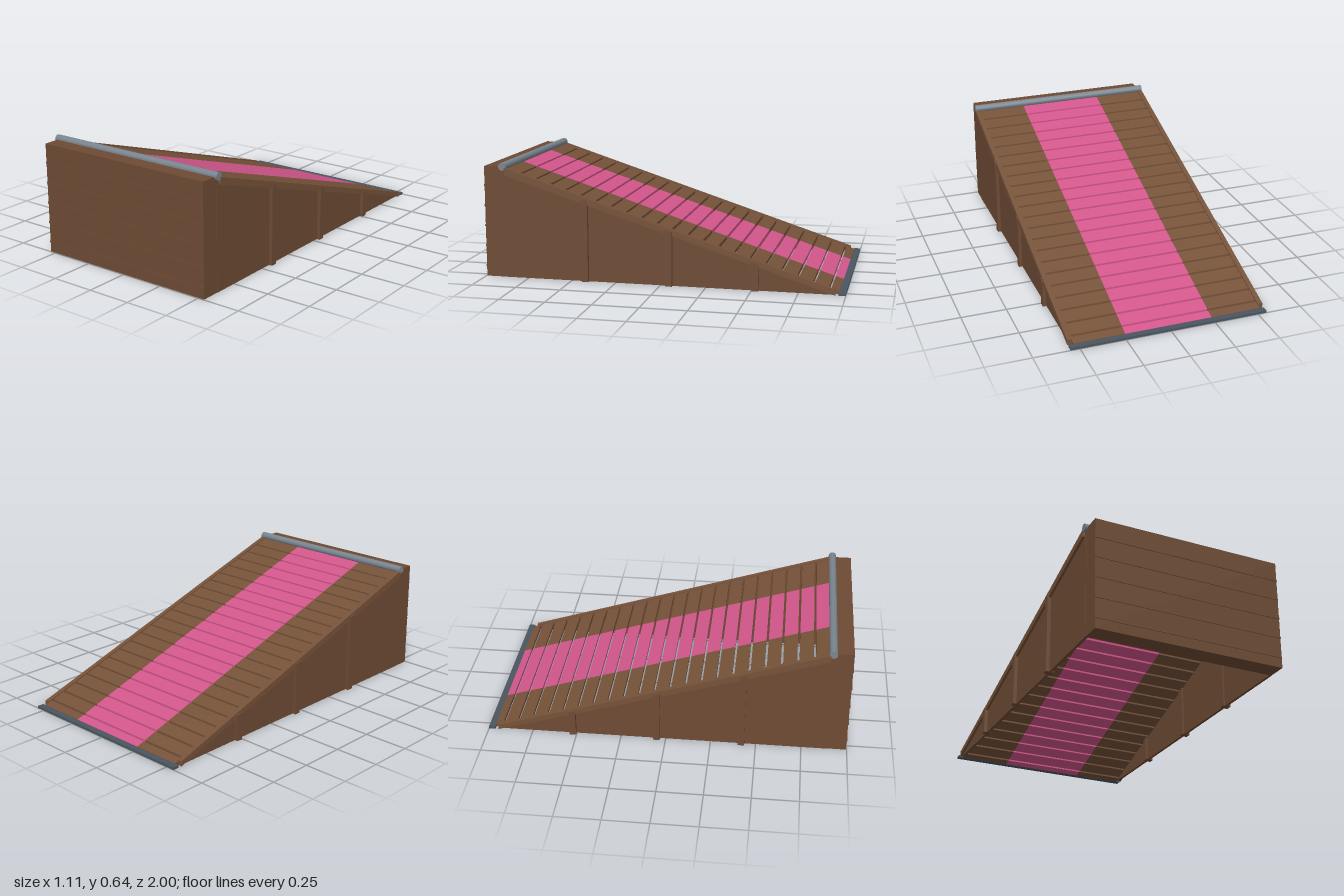
import * as THREE from 'three';

export function createModel() {
  const model = new THREE.Group();
  model.name = 'ramp';
  const mat = (name, color) => {
    const m = new THREE.MeshStandardMaterial({ color });
    m.name = name;
    return m;
  };
  const wallWood = mat('wall wood', 0x6e4b34);
  const deckWood = mat('deck wood', 0x765239);
  const pink = mat('pink paint', 0xd2568b);
  const steel = mat('steel', 0x7a858f);
  const darkSteel = mat('dark steel', 0x4a5660);

  const slope = z => 0.62 + (z - 0.89) * 0.3224;

  function add(name, geometry, material) {
    const mesh = new THREE.Mesh(geometry, material);
    mesh.name = name;
    model.add(mesh);
    return mesh;
  }
  function box(name, x0, x1, y0, y1, z0, z1, material) {
    const g = new THREE.BoxGeometry(x1 - x0, y1 - y0, z1 - z0);
    g.translate((x0 + x1) / 2, (y0 + y1) / 2, (z0 + z1) / 2);
    return add(name, g, material);
  }
  // Side profile of [z, y] points, extruded from x0 to x1
  function profile(name, points, x0, x1, material) {
    const shape = new THREE.Shape(points.map(p => new THREE.Vector2(p[0], p[1])));
    const g = new THREE.ExtrudeGeometry(shape, { depth: x1 - x0, bevelEnabled: false });
    g.rotateY(-Math.PI / 2);
    g.translate(x1, 0, 0);
    return add(name, g, material);
  }
  // Strip that follows the slope, between two distances below it
  const strip = (z0, z1, top, bottom) => [
    [z0, Math.max(0, slope(z0) - bottom)], [z1, slope(z1) - bottom],
    [z1, slope(z1) - top], [z0, slope(z0) - top],
  ];

  // Platform block with thin horizontal battens on its face
  box('platform', -0.535, 0.535, 0, 0.62, 0.89, 0.996, wallWood);
  for (let i = 0; i < 5; i++) {
    const y = 0.06 + i * 0.1135;
    box('frontBatten', -0.535, 0.535, y - 0.005, y + 0.005, 0.995, 1, wallWood);
  }

  // Side panels, top rails and posts, mirrored
  for (const s of [1, -1]) {
    const side = (name, points, inner, outer, material) =>
      profile(name, points, s > 0 ? inner : -outer, s > 0 ? outer : -inner, material);
    side('sidePanel', [[-0.94, 0], [0.89, 0], [0.89, slope(0.89) - 0.01], [-0.94, slope(-0.94) - 0.01]],
      0.522, 0.537, wallWood);
    side('topRail', strip(-0.945, 0.875, 0, 0.04), 0.524, 0.551, deckWood);
    for (const z of [0.42, -0.05, -0.52]) {
      const a = z - 0.018, b = z + 0.018;
      side('post', [[a, 0], [b, 0], [b, slope(b) - 0.012], [a, slope(a) - 0.012]],
        0.512, 0.557, wallWood);
    }
  }

  // Slatted deck with a painted centre lane
  const pitch = 0.0853, gap = 0.006, firstGap = -0.915;
  for (let i = 0; i < 22; i++) {
    const z0 = i === 0 ? -0.965 : firstGap + (i - 1) * pitch + gap;
    const z1 = i === 21 ? 0.88 : firstGap + i * pitch - gap;
    const points = strip(z0, z1, 0.007, 0.026);
    profile('slatRight', points, -0.526, -0.243, deckWood);
    profile('laneSlat', points, -0.243, 0.243, pink);
    profile('slatLeft', points, 0.243, 0.526, deckWood);
  }

  // Round coping at the top edge and threshold plate at the foot
  const rod = new THREE.CylinderGeometry(0.022, 0.022, 1.1, 12);
  rod.rotateZ(Math.PI / 2);
  rod.translate(0, 0.621, 0.887);
  add('coping', rod, steel);
  box('thresholdPlate', -0.55, 0.55, 0, 0.013, -1, -0.963, darkSteel);

  return model;
}
